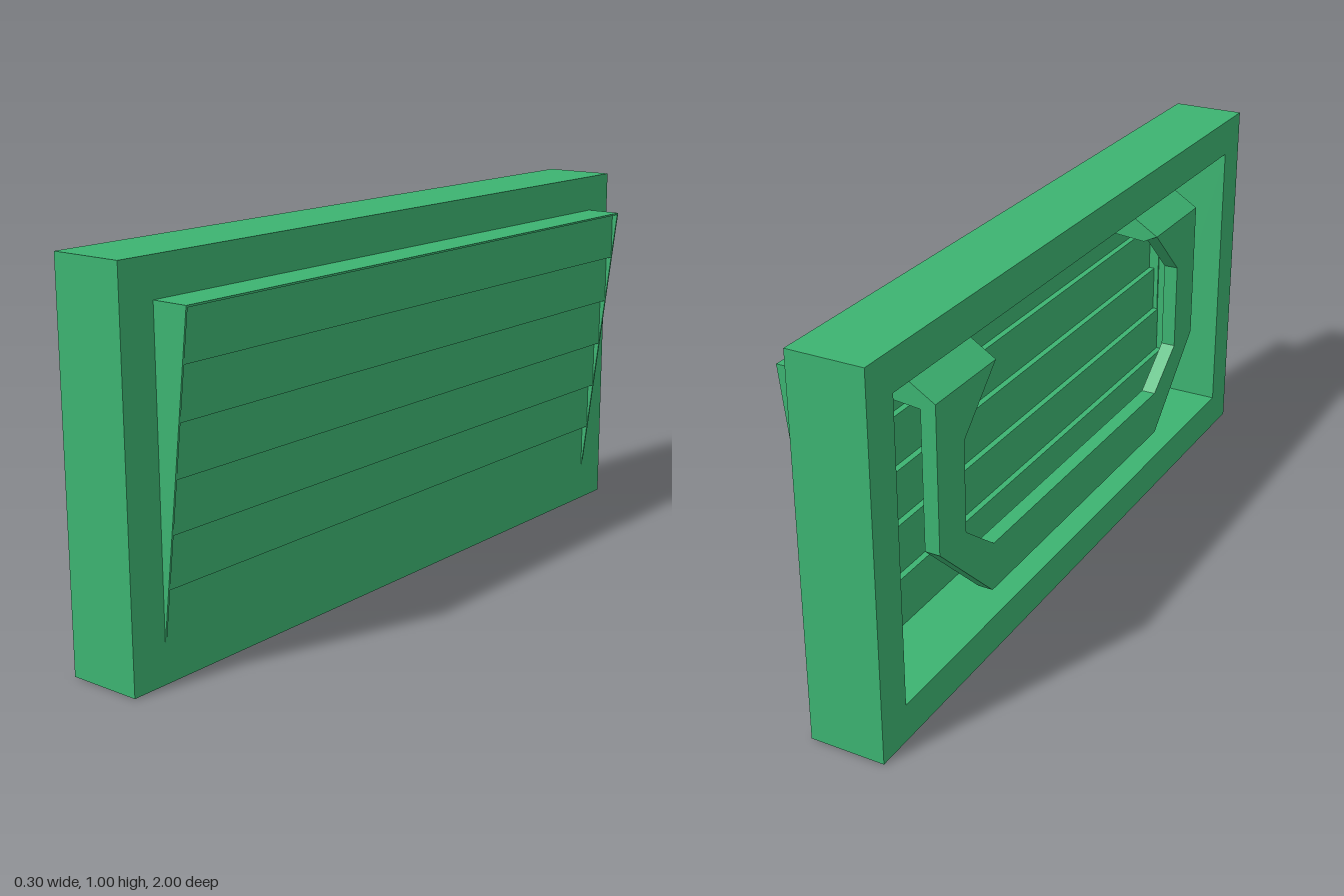
import * as THREE from 'three';

export function createModel() {
  const group = new THREE.Group();
  const material = new THREE.MeshStandardMaterial({ color: 0x3cb371, flatShading: true, side: THREE.DoubleSide });

  function add(name, geometry, x = 0, y = 0, z = 0) {
    const mesh = new THREE.Mesh(geometry, material);
    mesh.name = name;
    mesh.position.set(x, y, z);
    group.add(mesh);
    return mesh;
  }
  const polygon = (points) => new THREE.Shape(points.map(([a, b]) => new THREE.Vector2(a, b)));
  const extrude = (shape, depth) => new THREE.ExtrudeGeometry(shape, { depth, bevelEnabled: false });

  // Outer frame with a rectangular opening, extruded along x
  const frame = polygon([[-1, 0], [1, 0], [1, 1], [-1, 1]]);
  frame.holes.push(new THREE.Path([[-0.9, 0.1], [-0.9, 0.9], [0.9, 0.9], [0.9, 0.1]].map((p) => new THREE.Vector2(...p))));
  add('frame', extrude(frame, 0.2).rotateY(-Math.PI / 2), 0.05);

  // Sloping hood: two thin triangular cheeks and a top plate
  const cheek = polygon([[0.05, 0.1], [0.15, 0.9], [0.05, 0.9]]);
  add('leftCheek', extrude(cheek, 0.005), 0, 0, 0.895);
  add('rightCheek', extrude(cheek, 0.005), 0, 0, -0.9);
  add('hoodTop', new THREE.BoxGeometry(0.1, 0.005, 1.8), 0.1, 0.8975, 0);

  // Louvre slats, each stepping further out than the one below
  const count = 6;
  const pitch = 0.8 / count;
  const step = 0.1 / count;
  for (let i = 0; i < count; i++) {
    add('slat' + (i + 1), new THREE.BoxGeometry(0.02, pitch, 1.79),
      0.04 + i * step, 0.1 + (i + 0.5) * pitch, 0);
  }

  // Cradle behind the slats: lower bar with chamfered corners and two uprights
  const side = [[0.48, 0.17], [0.72, 0.4], [0.72, 0.79], [0.45, 0.79], [0.6, 0.645], [0.6, 0.4], [0.47, 0.3]];
  const mirrored = side.map(([z, y]) => [-z, y]).reverse();
  add('cradle', extrude(polygon([...side, ...mirrored]), 0.04).rotateY(-Math.PI / 2), -0.1);

  // Hooks joining the uprights to the top slat
  const hook = polygon([[-0.14, 0.79], [-0.1, 0.77], [0.12, 0.79], [0.12, 0.85], [-0.06, 0.84]]);
  add('leftHook', extrude(hook, 0.27), 0, 0, 0.45);
  add('rightHook', extrude(hook, 0.27), 0, 0, -0.72);

  return group;
}
